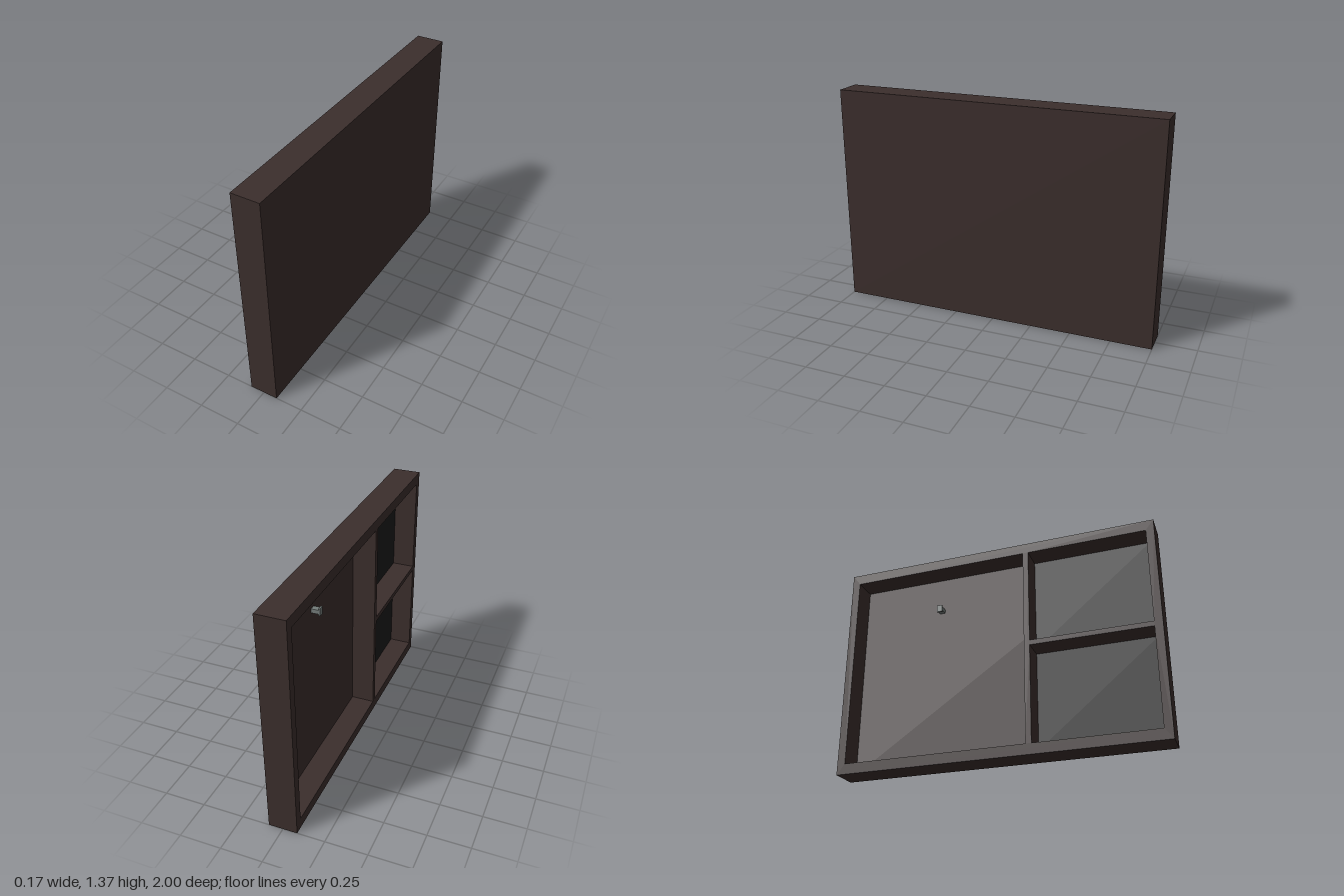
import * as THREE from 'three';

const W = 0.172, H = 1.365, BACK = 0.028; // thickness, height, back panel thickness
const SIDE = 0.05, RAIL = 0.065;          // frame borders
const X0 = -W / 2, FLOOR = W / 2 - BACK;  // open face, recess floor

const wood = new THREE.MeshStandardMaterial({ color: 0x3b2e2c });
const black = new THREE.MeshStandardMaterial({ color: 0x1c1c1c });
const metal = new THREE.MeshStandardMaterial({ color: 0x747c7a });

// openings as [z0, z1, y0, y1]
const bay = [-1 + SIDE, 0.185, RAIL, H - RAIL];
const cubbies = [
  [0.22, 1 - SIDE, RAIL, 0.667],
  [0.22, 1 - SIDE, 0.698, H - RAIL],
];

function rect(Type, [z0, z1, y0, y1]) {
  return new Type([[z0, y0], [z1, y0], [z1, y1], [z0, y1]].map(p => new THREE.Vector2(...p)));
}

// box spanning min and max on each axis
function block(name, [x0, x1], [y0, y1], [z0, z1], material) {
  const mesh = new THREE.Mesh(new THREE.BoxGeometry(x1 - x0, y1 - y0, z1 - z0), material);
  mesh.position.set((x0 + x1) / 2, (y0 + y1) / 2, (z0 + z1) / 2);
  mesh.name = name;
  return mesh;
}

export function createModel() {
  const group = new THREE.Group();
  group.name = 'wallCabinet';

  // frame with divider and shelf, open towards -x
  const outline = rect(THREE.Shape, [-1, 1, 0, H]);
  outline.holes = [bay, ...cubbies].map(o => rect(THREE.Path, o));
  const geometry = new THREE.ExtrudeGeometry(outline, { depth: W - BACK, bevelEnabled: false });
  geometry.translate(0, 0, -FLOOR).rotateY(-Math.PI / 2);
  const frame = new THREE.Mesh(geometry, wood);
  frame.name = 'frame';
  group.add(frame);

  // solid rear panel
  group.add(block('backPanel', [FLOOR, W / 2], [0, H], [-1, 1], wood));

  // dark linings of the two small compartments
  cubbies.forEach(([z0, z1, y0, y1], i) => {
    group.add(block('darkLining' + (i + 1), [FLOOR - 0.003, FLOOR], [y0, y1], [z0, z1], black));
  });

  // small hook in the large compartment: stem and end plate
  const hook = new THREE.Group();
  hook.name = 'hook';
  hook.add(
    block('hookStem', [FLOOR - 0.045, FLOOR], [1.055, 1.08], [-0.425, -0.39], metal),
    block('hookPlate', [FLOOR - 0.053, FLOOR - 0.043], [1.045, 1.09], [-0.425, -0.39], metal),
  );
  group.add(hook);
  return group;
}
